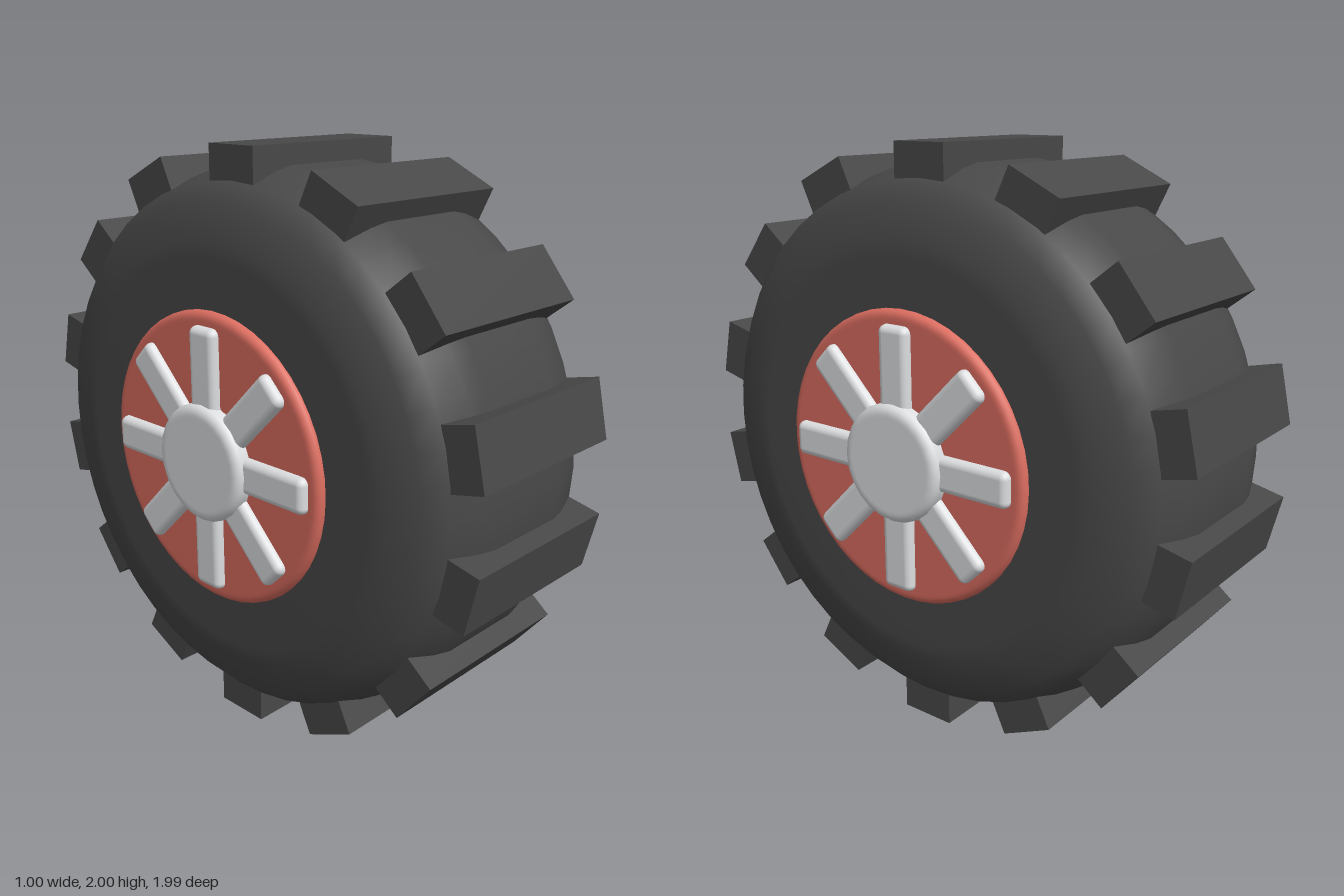
import * as THREE from 'three';
import { RoundedBoxGeometry } from 'three/addons/geometries/RoundedBoxGeometry.js';

const material = (name, color) => {
  const m = new THREE.MeshStandardMaterial({ color });
  m.name = name;
  return m;
};

// Revolve a half profile of [radius, x], mirrored in x, about the x axle
function turned(name, half, segments, mat) {
  const pts = [
    ...half.map(([r, x]) => new THREE.Vector2(r, -x)),
    ...[...half].reverse().map(([r, x]) => new THREE.Vector2(r, x)),
  ];
  const geo = new THREE.LatheGeometry(pts, segments).rotateZ(-Math.PI / 2);
  const mesh = new THREE.Mesh(geo, mat);
  mesh.name = name;
  return mesh;
}

// Disc profile with a rounded rim
function discProfile(radius, halfWidth, bevel) {
  const pts = [[0, halfWidth], [radius - bevel - 0.01, halfWidth]];
  for (let i = 0; i <= 4; i++) {
    const a = (i / 4) * Math.PI / 2;
    pts.push([radius - bevel + bevel * Math.sin(a), halfWidth - bevel + bevel * Math.cos(a)]);
  }
  return pts;
}

export function createModel() {
  const rubber = material('rubber', 0x484848);
  const red = material('rimRed', 0xdb6d60);
  const silver = material('silver', 0xdcdee0);

  const wheel = new THREE.Group();
  wheel.name = 'wheel';
  const axle = new THREE.Group();
  axle.name = 'wheelAssembly';
  axle.position.y = 1;
  wheel.add(axle);

  // Tire with flat sidewalls and rounded shoulders
  axle.add(turned('tire', [
    [0.4, 0.418], [0.66, 0.418], [0.71, 0.415], [0.83, 0.388], [0.89, 0.328], [0.925, 0.23], [0.94, 0.16],
  ], 48, rubber));

  // Tread blocks around the circumference
  const treadGeo = new THREE.BoxGeometry(0.65, 0.115, 0.2).translate(0, 0.9425, 0);
  for (let i = 0; i < 14; i++) {
    const tread = new THREE.Mesh(treadGeo, rubber);
    tread.name = 'treadBlock';
    tread.rotation.x = (i / 14) * Math.PI * 2;
    axle.add(tread);
  }

  // Rim and hub run through the wheel and show on both sides
  axle.add(turned('rim', discProfile(0.497, 0.445, 0.025), 48, red));
  axle.add(turned('hub', discProfile(0.2, 0.5, 0.03), 24, silver));

  // Eight spokes on each face
  const spokeGeo = new RoundedBoxGeometry(0.07, 0.35, 0.12, 3, 0.025).translate(0, 0.275, 0);
  for (const side of [-1, 1]) {
    for (let i = 0; i < 8; i++) {
      const spoke = new THREE.Mesh(spokeGeo, silver);
      spoke.name = 'spoke';
      spoke.position.x = side * 0.44;
      spoke.rotation.x = (i / 8) * Math.PI * 2;
      axle.add(spoke);
    }
  }
  return wheel;
}
